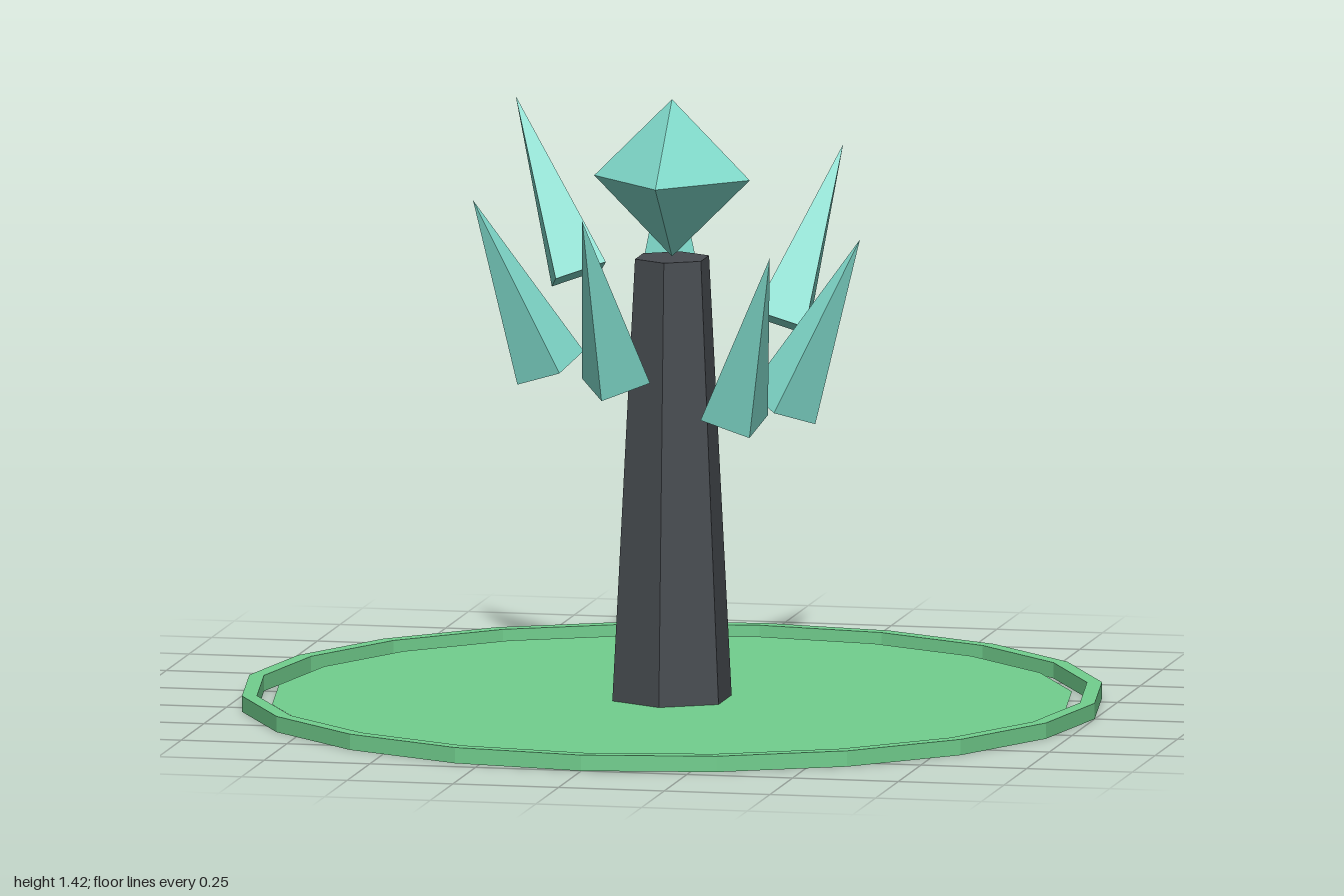
import * as THREE from 'three';

export function createModel() {
  const root = new THREE.Group();
  root.name = 'crystalSpire';

  const material = (name, color) => {
    const m = new THREE.MeshStandardMaterial({ color, flatShading: true });
    m.name = name;
    return m;
  };
  const green = material('groundGreen', 0x72cf8e);
  green.side = THREE.DoubleSide;
  const stone = material('darkStone', 0x474b50);
  const teal = material('tealCrystal', 0x7fd9ca);

  const add = (parent, name, geometry, mat) => {
    const mesh = new THREE.Mesh(geometry, mat);
    mesh.name = name;
    parent.add(mesh);
    return mesh;
  };

  const SIDES = 20, FLOOR = 0.016;

  // Flat ground disc, with a narrow gap before the rim
  const disc = new THREE.CircleGeometry(0.93, SIDES).rotateX(-Math.PI / 2);
  add(root, 'groundDisc', disc, green).position.y = FLOOR;

  // Rim: square section swept round the disc
  const section = [[0.965, 0], [1, 0], [1, 0.037], [0.965, 0.037], [0.965, 0]]
    .map(([x, y]) => new THREE.Vector2(x, y));
  add(root, 'groundRim', new THREE.LatheGeometry(section, SIDES), green);

  // Tapered six-sided pillar
  const top = 1.048;
  const pillar = new THREE.CylinderGeometry(0.09, 0.145, top - FLOOR, 6);
  add(root, 'pillar', pillar, stone).position.y = (top + FLOOR) / 2;

  // Crystal balanced on the pillar
  add(root, 'topCrystal', new THREE.OctahedronGeometry(0.184), teal).position.y = 1.234;

  // Ring of floating shards leaning outward: [base radius, base height]
  const shards = [
    [0.26, 0.705], [0.327, 0.862], [0.338, 0.86], [0.273, 0.982],
    [0.289, 0.8], [0.307, 0.803], [0.323, 0.718],
  ];
  const LENGTH = 0.44, LEAN = 0.433;
  const shardGeometry = new THREE.ConeGeometry(0.087, LENGTH, 4)
    .translate(0, LENGTH / 2, 0)
    .rotateZ(-LEAN);
  const ring = new THREE.Group();
  ring.name = 'shardRing';
  root.add(ring);
  shards.forEach(([radius, height], i) => {
    const angle = (i / shards.length) * Math.PI * 2;
    const shard = add(ring, `shard${i + 1}`, shardGeometry, teal);
    shard.position.set(Math.cos(angle) * radius, height, -Math.sin(angle) * radius);
    shard.rotation.y = angle;
  });

  return root;
}
